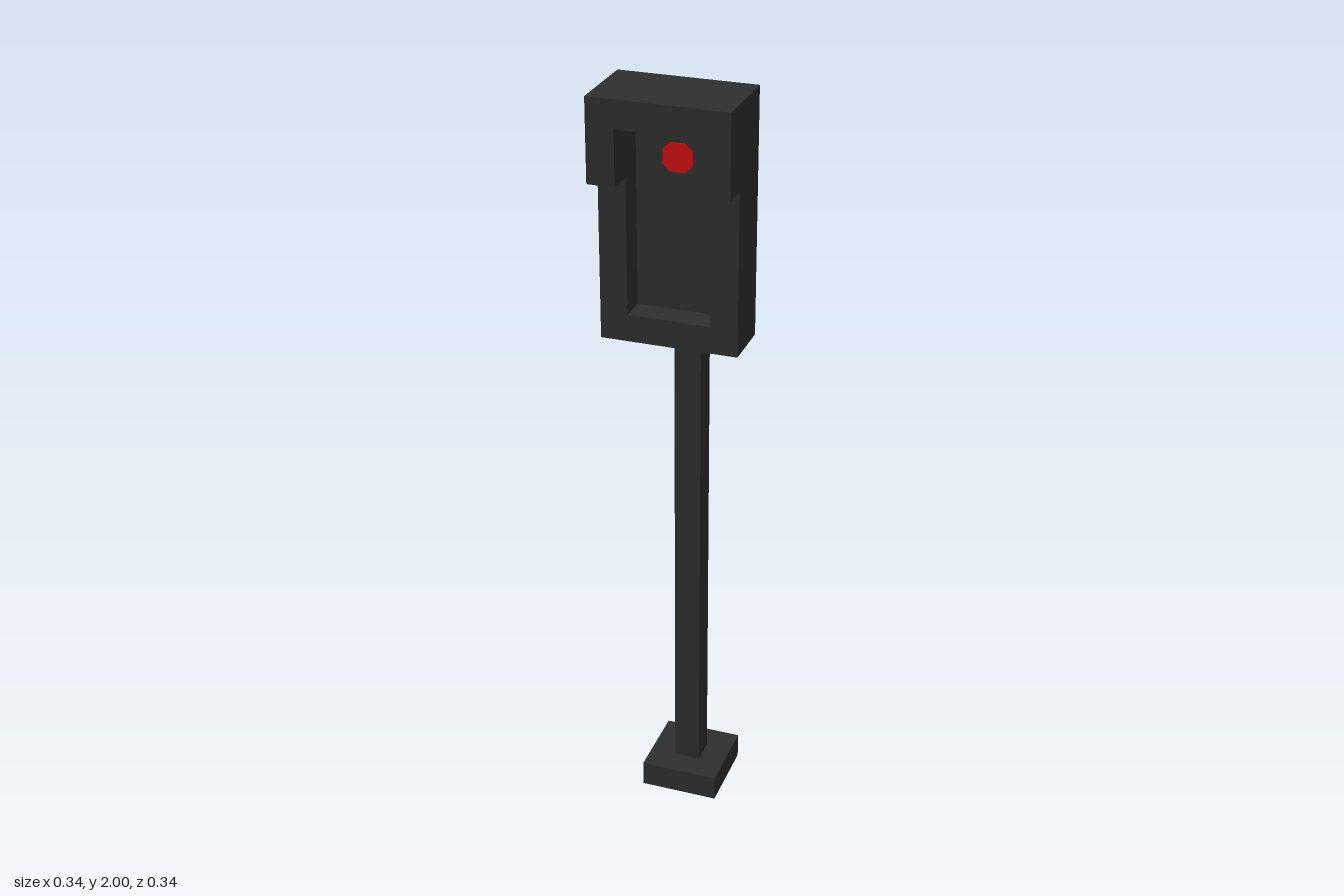
import * as THREE from 'three';

// Everything sits on a grid of 29 cells over the full height
const U = 2 / 29;

export function createModel() {
  const model = new THREE.Group();
  model.name = 'signalPost';

  const charcoal = new THREE.MeshStandardMaterial({ color: 0x2f2f2f });
  charcoal.name = 'charcoal';
  const red = new THREE.MeshStandardMaterial({ color: 0xcc1010 });
  red.name = 'red';

  const add = (name, geometry, material = charcoal) => {
    const mesh = new THREE.Mesh(geometry, material);
    mesh.name = name;
    model.add(mesh);
    return mesh;
  };

  // Box from ranges in grid cells, centred on x
  const box = (name, width, y0, y1, z0, z1) =>
    add(name, new THREE.BoxGeometry(width * U, (y1 - y0) * U, (z1 - z0) * U))
      .position.set(0, (y0 + y1) * U / 2, (z0 + z1) * U / 2);

  // Outline in grid cells, extruded towards the front
  const outline = (points) => points.map(([x, y]) => new THREE.Vector2(x * U, y * U));
  const plate = (name, shape, z0, z1, material) => {
    const depth = (z1 - z0) * U;
    add(name, new THREE.ExtrudeGeometry(shape, { depth, bevelEnabled: false }), material)
      .position.z = z0 * U;
  };

  // Foot, post and the casing behind the head
  box('base', 3, 0, 1, -2.5, 0.5);
  box('pole', 1, 1, 20, -1.5, -0.5);
  box('rearCasing', 3, 20, 28, -1.5, -0.5);

  // Head: solid back with a frame around the recessed panel
  box('headBack', 5, 20, 29, -0.5, 0.5);
  const frame = new THREE.Shape(outline([[-2.5, 20], [2.5, 20], [2.5, 29], [-2.5, 29]]));
  frame.holes.push(new THREE.Path(outline([[-1.5, 21], [-1.5, 28], [1.5, 28], [1.5, 21]])));
  plate('headFrame', frame, 0.5, 1.5);

  // Hood over the upper part of the frame
  const hood = new THREE.Shape(outline([
    [-2.5, 26], [-1.5, 26], [-1.5, 28], [1.5, 28],
    [1.5, 26], [2.5, 26], [2.5, 29], [-2.5, 29],
  ]));
  plate('hood', hood, 1.5, 2.5);

  // Eight-sided lamp on the recessed panel
  const lamp = new THREE.Shape(outline([
    [-0.28, 26.04], [0.28, 26.04], [0.53, 26.29], [0.53, 26.8],
    [0.28, 27.05], [-0.28, 27.05], [-0.53, 26.8], [-0.53, 26.29],
  ]));
  plate('lamp', lamp, 0.5, 0.56, red);

  return model;
}
